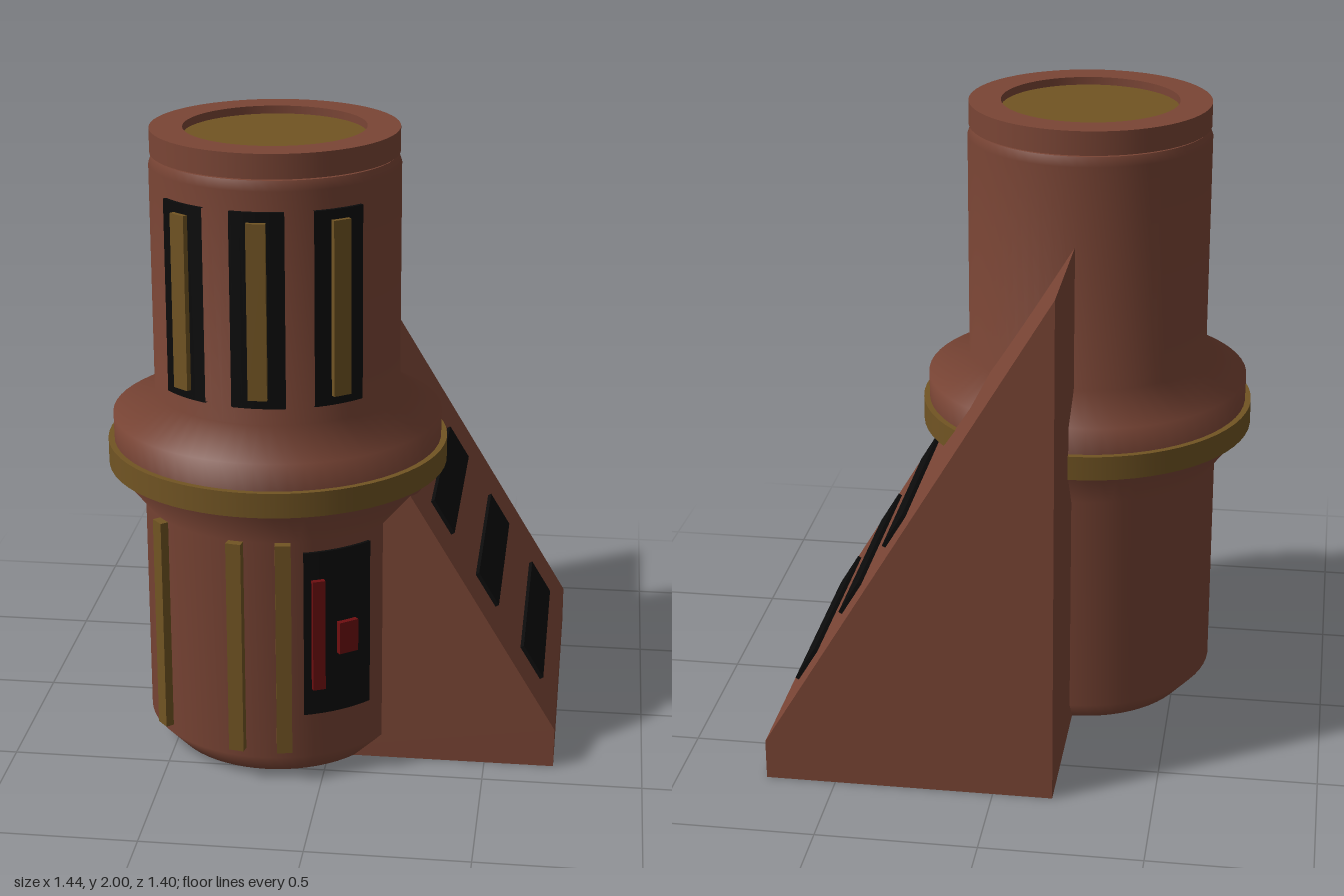
import * as THREE from 'three';

const material = (name, color, side = THREE.FrontSide) => {
  const m = new THREE.MeshStandardMaterial({ color, side });
  m.name = name;
  return m;
};

export function createModel() {
  const rust = material('rust brown', 0x7a4535);
  const gold = material('dull gold', 0x715423);
  const black = material('black', 0x0b0b0b, THREE.DoubleSide);
  const red = material('dark red', 0x6e0e10);

  const model = new THREE.Group();
  model.name = 'tower';
  const column = new THREE.Group();
  column.name = 'column';
  column.position.set(-0.187, 0, 0.165);
  model.add(column);

  const add = (parent, name, geometry, mat) => {
    const mesh = new THREE.Mesh(geometry, mat);
    mesh.name = name;
    parent.add(mesh);
    return mesh;
  };

  // Turned profile from [radius, y] pairs; repeated pairs make a sharp edge
  const turned = (pairs, segments = 64, start = 0, sweep = Math.PI * 2) =>
    new THREE.LatheGeometry(pairs.map(([r, y]) => new THREE.Vector2(r, y)), segments, start, sweep);

  // Curved plate that hugs the column between two angles from the front
  const plate = (name, r, a0, a1, y0, y1) => add(column, name, turned(
    [[r - 0.02, y0], [r, y0], [r, y0], [r, y1], [r, y1], [r - 0.02, y1]],
    10, THREE.MathUtils.degToRad(a0), THREE.MathUtils.degToRad(a1 - a0)), black);

  // Small upright bar on the column wall; r is its outer face
  const bar = (name, mat, r, angle, width, y0, y1, depth = 0.04) => {
    const a = THREE.MathUtils.degToRad(angle);
    const mesh = add(column, name, new THREE.BoxGeometry(width, y1 - y0, depth), mat);
    mesh.position.set(Math.sin(a) * (r - depth / 2), (y0 + y1) / 2, Math.cos(a) * (r - depth / 2));
    mesh.rotation.y = a;
  };

  // Column body with chamfered foot and bulging waist
  add(column, 'columnBody', turned([
    [0, 0], [0.35, 0], [0.35, 0], [0.423, 0.08], [0.423, 0.81], [0.515, 0.93],
    [0.517, 1.1], [0.385, 1.175], [0.385, 1.89], [0.375, 1.92], [0.375, 1.92], [0.28, 1.92],
  ]), rust);

  // Rim with a sunken lid
  add(column, 'topRim', turned([
    [0.36, 1.925], [0.381, 1.925], [0.381, 1.925], [0.381, 2], [0.381, 2],
    [0.28, 2], [0.28, 2], [0.28, 1.92],
  ]), rust);
  const lid = add(column, 'topLid', new THREE.CircleGeometry(0.28, 64), gold);
  lid.rotation.x = -Math.PI / 2;
  lid.position.y = 1.975;

  // Waist band
  add(column, 'waistBand', turned([
    [0.5, 0.937], [0.535, 0.937], [0.535, 0.937], [0.535, 1.015], [0.535, 1.015], [0.5, 1.015],
  ]), gold);

  // Upper windows with gold slats
  for (const angle of [-36.7, 0, 36.7]) {
    plate('windowPanel', 0.396, angle - 12, angle + 12, 1.23, 1.83);
    bar('windowSlat', gold, 0.411, angle, 0.058, 1.26, 1.8);
  }

  // Lower trim strips
  for (const angle of [-49, -9.8, 9.8]) bar('trimStrip', gold, 0.449, angle, 0.048, 0.11, 0.81);

  // Control panel with red bar and button
  plate('controlPanel', 0.432, 18.1, 48.8, 0.23, 0.775);
  bar('controlBar', red, 0.449, 24, 0.04, 0.32, 0.685);
  bar('controlButton', red, 0.449, 36.7, 0.066, 0.43, 0.535);

  // Sloping buttress behind and beside the column
  const profile = new THREE.Shape([[-0.187, 0], [0.72, 0], [0.72, 0.13], [-0.187, 1.64]]
    .map(([x, y]) => new THREE.Vector2(x, y)));
  const wedge = new THREE.ExtrudeGeometry(profile, { depth: 1.09, bevelEnabled: false });
  wedge.translate(0, 0, -0.7);
  add(model, 'buttress', wedge, rust);

  // Vents laid flat on the slope
  const slope = Math.atan2(1.51, 0.907);
  for (const y of [0.765, 0.5225, 0.275]) {
    const vent = add(model, 'slopeVent', new THREE.BoxGeometry(0.127, 0.018, 0.68), black);
    vent.position.set(0.72 - (y - 0.13) * 0.907 / 1.51 + 0.003, y + 0.002, -0.12);
    vent.rotation.z = -slope;
  }

  return model;
}
